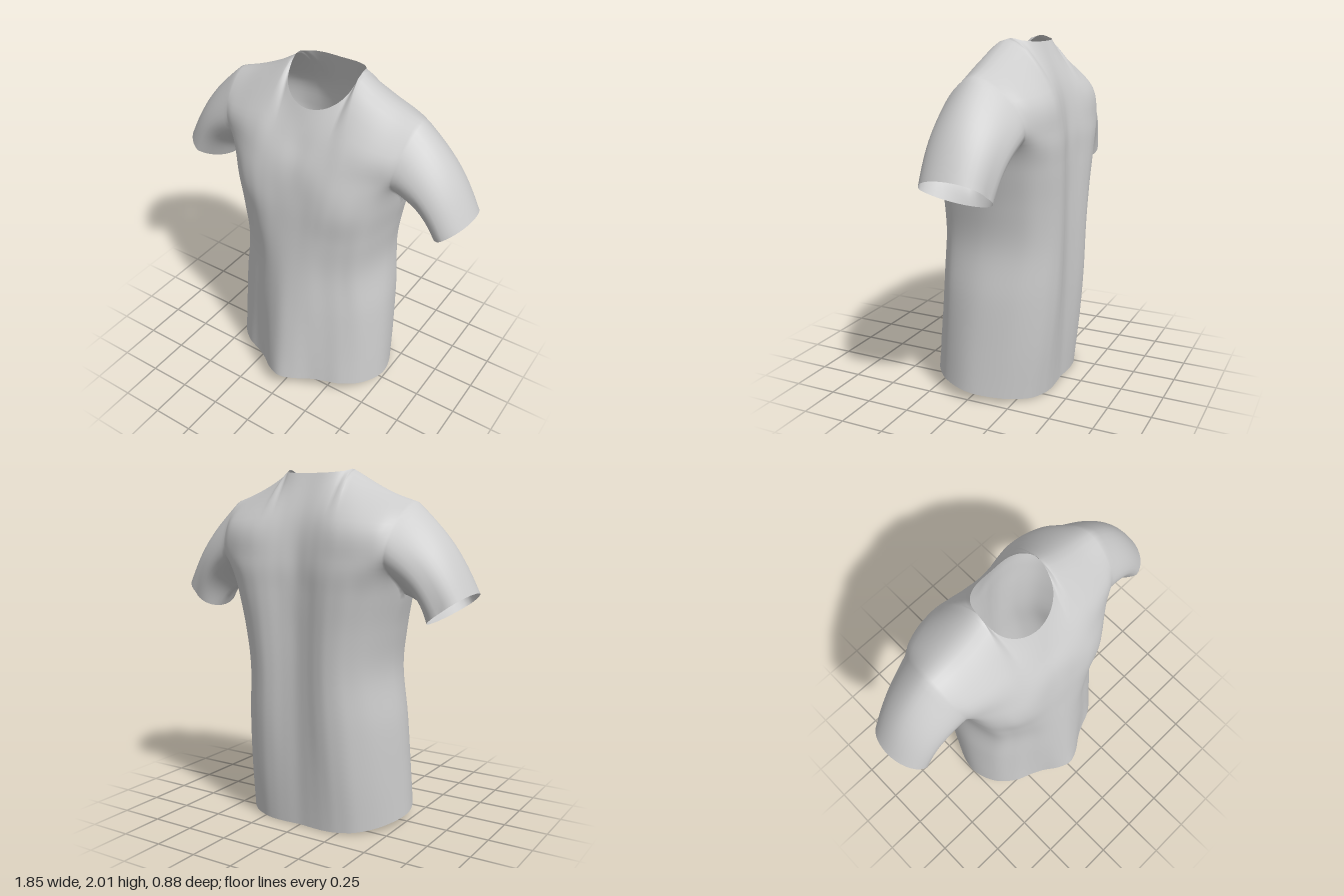
import * as THREE from 'three';

const SUB = 6; // subdivisions between control points
const COLS = [0, 0.17, 0.34, 0.5, 0.7, 0.9, 1]; // width fractions, centre to side seam
const ARMPIT = 5; // control row where the armhole starts
const NECK = 3; // control column of the neck point

// Torso levels below the armpit: [height, half width] and depth per column
const LEVELS = [[0, 0.505], [0.3, 0.492], [0.6, 0.471], [0.89, 0.434], [1.13, 0.46], [1.34, 0.505]];
const FRONT_Z = [
  [0.435, 0.405, 0.345, 0.305, 0.26, 0.16, 0],
  [0.41, 0.388, 0.338, 0.295, 0.245, 0.15, -0.015],
  [0.377, 0.36, 0.325, 0.282, 0.23, 0.14, -0.045],
  [0.342, 0.333, 0.31, 0.272, 0.222, 0.14, -0.07],
  [0.31, 0.307, 0.298, 0.275, 0.228, 0.14, -0.09],
  [0.28, 0.28, 0.283, 0.275, 0.235, 0.13, -0.1],
];
const BACK_Z = [
  [-0.37, -0.375, -0.375, -0.36, -0.31, -0.18, 0],
  [-0.385, -0.393, -0.4, -0.392, -0.345, -0.215, -0.015],
  [-0.395, -0.405, -0.42, -0.415, -0.37, -0.25, -0.045],
  [-0.4, -0.41, -0.427, -0.428, -0.39, -0.285, -0.07],
  [-0.4, -0.412, -0.432, -0.435, -0.4, -0.3, -0.09],
  [-0.4, -0.412, -0.435, -0.44, -0.412, -0.315, -0.1],
];
// Chest, upper chest, then neckline and shoulder seam
const SHOULDER = [[0.208, 2, -0.11], [0.32, 1.935, -0.1], [0.45, 1.875, -0.1], [0.58, 1.832, -0.1]];
const FRONT_TOP = [
  [[0, 1.52, 0.235], [0.09, 1.52, 0.24], [0.18, 1.52, 0.24], [0.27, 1.52, 0.23], [0.37, 1.53, 0.195], [0.47, 1.53, 0.145], [0.525, 1.53, 0.1]],
  [[0, 1.66, 0.165], [0.095, 1.67, 0.165], [0.18, 1.7, 0.15], [0.26, 1.74, 0.13], [0.37, 1.72, 0.125], [0.49, 1.7, 0.1], [0.56, 1.7, 0.07]],
  [[0, 1.82, 0.09], [0.11, 1.845, 0.065], [0.185, 1.91, 0], ...SHOULDER],
];
const BACK_TOP = [
  [[0, 1.52, -0.39], [0.09, 1.52, -0.407], [0.18, 1.52, -0.428], [0.27, 1.52, -0.435], [0.37, 1.52, -0.422], [0.46, 1.52, -0.39], [0.52, 1.52, -0.35]],
  [[0, 1.74, -0.35], [0.095, 1.74, -0.36], [0.18, 1.74, -0.375], [0.26, 1.74, -0.38], [0.37, 1.73, -0.37], [0.48, 1.72, -0.335], [0.55, 1.71, -0.285]],
  [[0, 1.983, -0.242], [0.11, 1.985, -0.237], [0.182, 1.992, -0.195], ...SHOULDER],
];

const vec = (p) => new THREE.Vector3(...p);
const beyond = (a, b) => a.clone().multiplyScalar(2).sub(b);

// Smooth curve through points, with given neighbours before and after the ends
function spline(points, before, after) {
  const p = [before, ...points, after], out = [];
  const cubic = (a, b, c, d, t) => b + 0.5 * t * (c - a + t * (2 * a - 5 * b + 4 * c - d + t * (3 * (b - c) + d - a)));
  for (let i = 1; i < points.length; i++) {
    for (let k = 0; k < SUB; k++) {
      out.push(vec(['x', 'y', 'z'].map((c) => cubic(p[i - 1][c], p[i][c], p[i + 1][c], p[i + 2][c], k / SUB))));
    }
  }
  out.push(points[points.length - 1].clone());
  return out;
}

// Control rows of one half panel; the hem slopes down towards the back
function controlRows(depths, top) {
  const lower = LEVELS.map(([y, w], r) => COLS.map((f, c) => {
    const z = depths[r][c];
    return vec([f * w, r === 0 ? 0.05 + 0.136 * z : y, z]);
  }));
  return [...lower, ...top.map((row) => row.map(vec))];
}

// Control rows smoothed across the width, continuing into the other panel at the side
function smoothRows(rows, other) {
  return rows.map((row, r) => {
    const before = row[1].clone().setX(-row[1].x);
    const end = beyond(row[6], row[5]);
    if (r < rows.length - 1) return spline(row, before, r <= ARMPIT ? other[r][5] : end);
    // top edge: round neckline, then a separate shoulder seam
    const neckline = spline(row.slice(0, NECK + 1), before, other[r][NECK - 1]);
    const seam = spline(row.slice(NECK), beyond(row[NECK], row[NECK + 1]), end);
    return [...neckline, ...seam.slice(1)];
  });
}

// Columns smoothed upward, rolling over the shoulder into the other panel
function smoothColumns(rows, other) {
  const n = rows.length;
  return rows[0].map((_, c) => {
    const column = rows.map((row) => row[c]);
    const open = beyond(column[n - 1], column[n - 2]);
    const roll = THREE.MathUtils.clamp(c / SUB - NECK + 1, 0, 1);
    return spline(column, beyond(column[0], column[1]), open.lerp(other[n - 2][c], roll));
  });
}

// Make the side and shoulder seams of both panels meet exactly
function joinSeams(front, back) {
  front.forEach((column, c) => column.forEach((p, r) => {
    const side = c === front.length - 1 && r <= ARMPIT * SUB;
    const shoulder = c >= NECK * SUB && r === column.length - 1;
    if (side || shoulder) {
      p.lerp(back[c][r], 0.5);
      back[c][r].copy(p);
    }
  }));
}

// Sleeve strips from the armhole edge to a tilted oval cuff
function sleeveGrid(front, back) {
  const edge = (panel) => panel[panel.length - 1].slice(ARMPIT * SUB);
  const f = edge(front), b = edge(back).reverse();
  const ring = [...f, ...b.slice(1)];
  const steps = 14;
  return ring.map((start, i) => {
    const a = (i / (ring.length - 1)) * Math.PI * 2;
    const cos = Math.cos(a);
    const cuff = vec([0.815 - 0.11 * cos, 1.283 - 0.083 * cos, -0.1 + 0.185 * Math.sin(a) - 0.07 * Math.max(cos, 0)]);
    return Array.from({ length: steps + 1 }, (_, j) => {
      const t = j / steps;
      const arch = 0.036 * Math.sin(Math.PI * t);
      return start.clone().lerp(cuff, t).add(vec([0.8 * arch, 0.6 * arch, 0]));
    });
  });
}

export function createModel() {
  const group = new THREE.Group();
  const cloth = new THREE.MeshStandardMaterial({ color: 0xcccccc, side: THREE.DoubleSide });
  cloth.name = 'light grey cloth';

  const frontRows = controlRows(FRONT_Z, FRONT_TOP);
  const backRows = controlRows(BACK_Z, BACK_TOP);
  const frontWide = smoothRows(frontRows, backRows);
  const backWide = smoothRows(backRows, frontRows);
  const front = smoothColumns(frontWide, backWide);
  const back = smoothColumns(backWide, frontWide);
  joinSeams(front, back);
  const sleeve = sleeveGrid(front, back);

  // Shared vertices, so shading runs smoothly across the seams
  const positions = [], known = new Map();
  const vertex = (p, side) => {
    const xyz = [p.x * side, p.y, p.z];
    const key = xyz.map((v) => Math.round(v * 1e4)).join();
    if (!known.has(key)) {
      known.set(key, positions.length / 3);
      positions.push(...xyz);
    }
    return known.get(key);
  };
  const faces = (grid, side, flip) => {
    const index = [];
    for (let i = 0; i < grid.length - 1; i++) {
      for (let j = 0; j < grid[i].length - 1; j++) {
        const [a, b, c, d] = [grid[i][j], grid[i + 1][j], grid[i + 1][j + 1], grid[i][j + 1]].map((p) => vertex(p, side));
        for (const [u, v, w] of [[a, b, c], [a, c, d]]) {
          if (u === v || v === w || u === w) continue;
          index.push(...(flip === (side > 0) ? [u, w, v] : [u, v, w]));
        }
      }
    }
    return index;
  };

  const parts = {
    frontPanel: [...faces(front, 1, false), ...faces(front, -1, false)],
    backPanel: [...faces(back, 1, true), ...faces(back, -1, true)],
    leftSleeve: faces(sleeve, 1, true),
    rightSleeve: faces(sleeve, -1, true),
  };

  const whole = new THREE.BufferGeometry();
  whole.setAttribute('position', new THREE.Float32BufferAttribute(positions, 3));
  whole.setIndex(Object.values(parts).flat());
  whole.computeVertexNormals();

  for (const [name, index] of Object.entries(parts)) {
    const geometry = new THREE.BufferGeometry();
    geometry.setAttribute('position', whole.getAttribute('position'));
    geometry.setAttribute('normal', whole.getAttribute('normal'));
    geometry.setIndex(index);
    const mesh = new THREE.Mesh(geometry, cloth);
    mesh.name = name;
    group.add(mesh);
  }
  return group;
}
